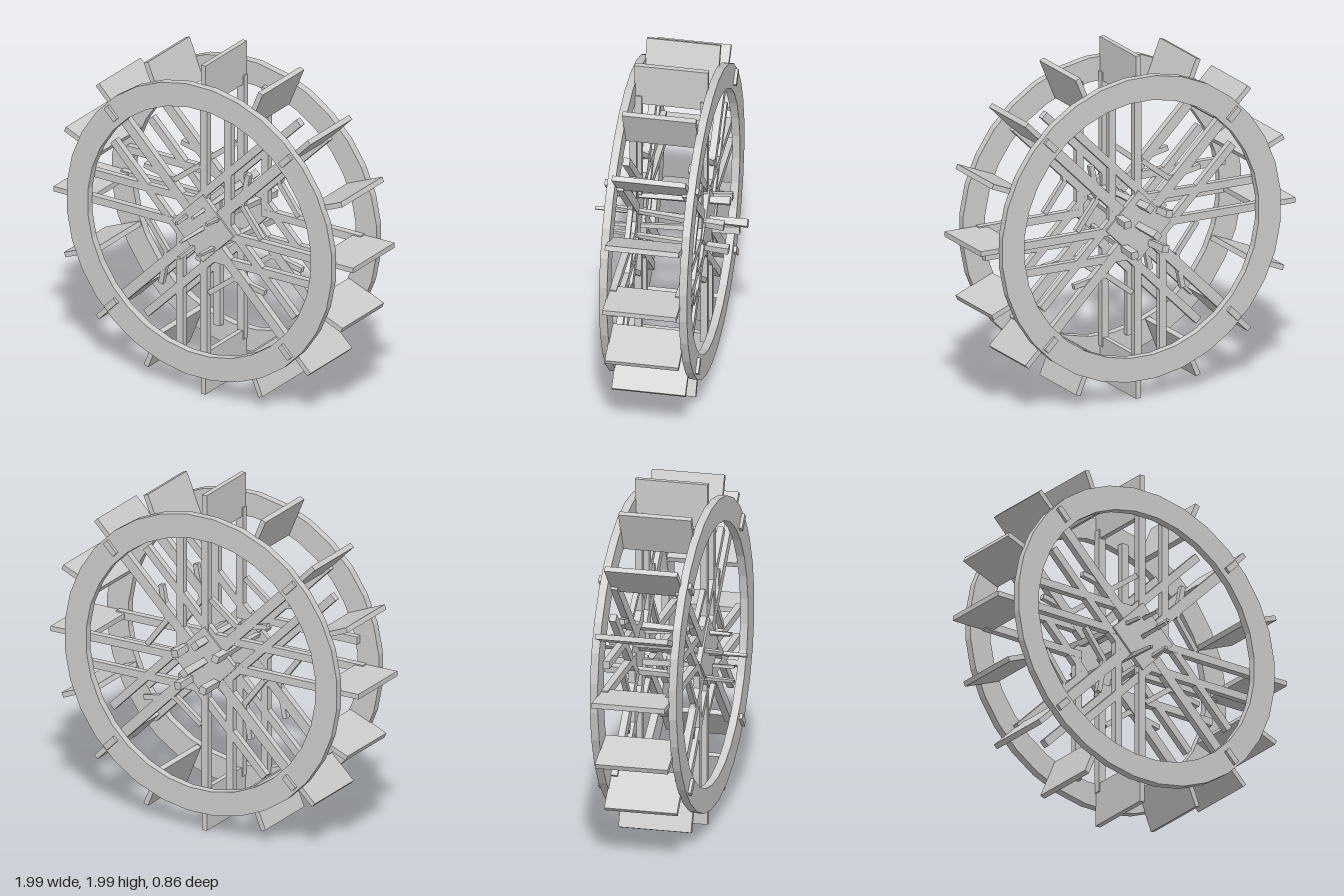
import * as THREE from 'three';

const mat = new THREE.MeshStandardMaterial({ color: 0xcccccc, flatShading: true, side: THREE.DoubleSide });

function add(parent, name, geometry, x = 0, y = 0, z = 0, rz = 0) {
  const mesh = new THREE.Mesh(geometry, mat);
  mesh.name = name;
  mesh.position.set(x, y, z);
  mesh.rotation.z = rz;
  parent.add(mesh);
  return mesh;
}

// Flat timber lying in the wheel plane between two points
function beam(parent, name, a, b, z, width, depth) {
  const dx = b[0] - a[0], dy = b[1] - a[1];
  return add(parent, name, new THREE.BoxGeometry(Math.hypot(dx, dy), width, depth),
    (a[0] + b[0]) / 2, (a[1] + b[1]) / 2, z, Math.atan2(dy, dx));
}

function ringGeometry(outer, inner, depth, sides) {
  const loop = r => Array.from({ length: sides }, (_, i) => {
    const a = (i + 0.5) / sides * Math.PI * 2;
    return new THREE.Vector2(r * Math.cos(a), r * Math.sin(a));
  });
  const shape = new THREE.Shape(loop(outer));
  shape.holes.push(new THREE.Path(loop(inner)));
  const g = new THREE.ExtrudeGeometry(shape, { depth, bevelEnabled: false });
  return g.translate(0, 0, -depth / 2);
}

// Point at distance r along angle a, shifted sideways by s
const polar = (a, r, s = 0) => [
  r * Math.cos(a) - s * Math.sin(a),
  r * Math.sin(a) + s * Math.cos(a)
];

function createSide(name, sign) {
  const side = new THREE.Group();
  side.name = name;
  add(side, 'rim', ringGeometry(0.885, 0.745, 0.045, 32), 0, 0, sign * 0.225);

  const z = sign * 0.185;
  for (let i = 0; i < 8; i++) {
    const a = i * Math.PI / 4;
    const diagonal = i % 2 === 1;
    // Radial spoke
    beam(side, 'spoke', polar(a, 0.14), polar(a, 0.8), z, diagonal ? 0.06 : 0.045, 0.04);
    // Offset arm running past the hub
    const s = diagonal ? 0.155 : -0.16;
    beam(side, 'offsetArm', polar(a, 0, s), polar(a, diagonal ? 0.7 : 0.76, s), z, 0.045, 0.038);
    if (diagonal) {
      // Peg through the rim
      const [px, py] = polar(a, 0.82);
      add(side, 'peg', new THREE.BoxGeometry(0.09, 0.035, 0.03), px, py, sign * 0.25, a);
    }
  }

  // Bent braces between neighbouring spokes
  const bend = [[-0.4, 0.29], [-0.2, 0.25], [-0.03, 0.38]];
  for (let q = 0; q < 4; q++) {
    const a = q * Math.PI / 2;
    const p = bend.map(([x, y]) => polar(a, x, y));
    beam(side, 'brace', p[0], p[1], z, 0.03, 0.03);
    beam(side, 'brace', p[1], p[2], z, 0.03, 0.03);
  }

  // Square hub plate set on its corner
  add(side, 'hubPlate', new THREE.BoxGeometry(0.29, 0.29, 0.03), 0, 0.01, sign * 0.2, Math.PI / 4);
  return side;
}

export function createModel() {
  const wheel = new THREE.Group();
  wheel.name = 'waterWheel';
  wheel.position.y = 1;

  wheel.add(createSide('frontSide', 1), createSide('backSide', -1));

  // Paddles around the rims
  for (let i = 0; i < 16; i++) {
    const a = i * Math.PI / 8;
    const [x, y] = polar(a, 0.872);
    add(wheel, 'paddle', new THREE.BoxGeometry(0.25, 0.03, 0.415), x, y, 0, a);
  }

  // Splintered axle: thin planks tapering to points, slightly askew
  const planks = [
    [0, 0.13, 0.66, 0.03], [0.11, 0.08, 0.64, -0.05], [-0.12, 0.07, 0.64, 0.05],
    [0, 0.01, 0.86, 0.0], [0.08, -0.1, 0.68, -0.04], [-0.07, -0.11, 0.74, 0.04]
  ];
  for (const [x, y, length, tilt] of planks) {
    const g = new THREE.CylinderGeometry(0.012, 0.03, length, 4).rotateX(Math.PI / 2);
    const plank = add(wheel, 'axlePlank', g, x, y, 0, Math.atan2(y, x));
    plank.rotation.x = tilt;
    plank.rotation.y = tilt;
  }
  return wheel;
}
